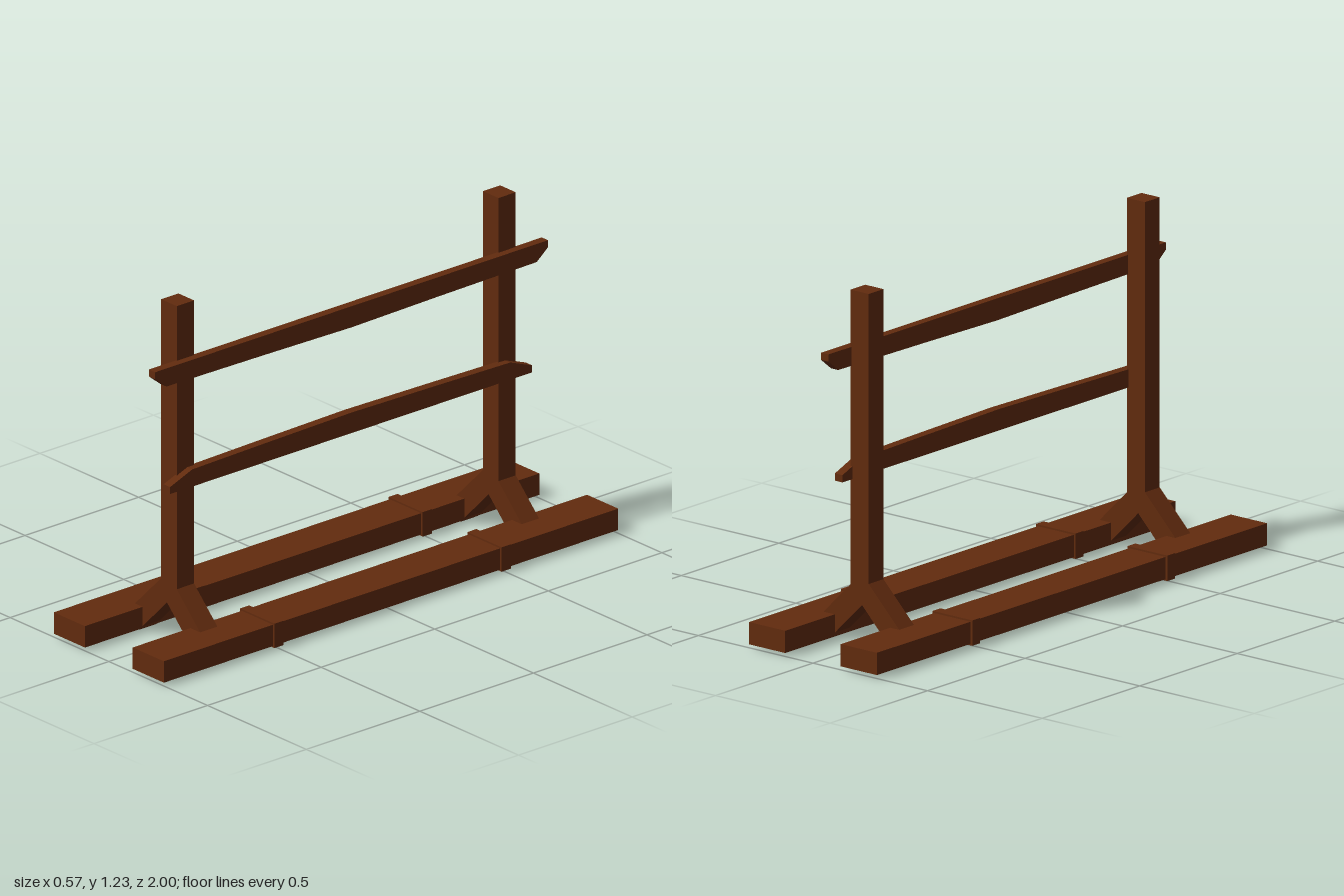
import * as THREE from 'three';

const wood = new THREE.MeshStandardMaterial({ color: 0x622b0e });
wood.name = 'brown wood';

// Outline from [x, y] points, extruded by depth along z
function extrude(points, depth) {
  const shape = new THREE.Shape(points.map(([x, y]) => new THREE.Vector2(x, y)));
  return new THREE.ExtrudeGeometry(shape, { depth, bevelEnabled: false });
}

export function createModel() {
  const model = new THREE.Group();

  const add = (name, geometry) => {
    const mesh = new THREE.Mesh(geometry, wood);
    mesh.name = name;
    model.add(mesh);
    return mesh;
  };
  // Box given by its minimum and maximum corners
  const addBox = (name, [x0, y0, z0], [x1, y1, z1]) =>
    add(name, new THREE.BoxGeometry(x1 - x0, y1 - y0, z1 - z0))
      .position.set((x0 + x1) / 2, (y0 + y1) / 2, (z0 + z1) / 2);

  // Ground beams with two raised bands each
  for (const side of [-1, 1]) {
    const label = side > 0 ? 'left' : 'right';
    const x = side * 0.2;
    addBox(label + 'GroundBeam', [x - 0.079, 0.015, -1], [x + 0.079, 0.092, 1]);
    for (const z of [-0.5, 0.5]) {
      addBox(label + 'BeamBand', [x - 0.087, 0.01, z - 0.02], [x + 0.087, 0.098, z + 0.02]);
    }
  }

  // Posts standing on pairs of splayed legs
  const rightLeg = [[0.002, 0.147], [0.002, 0.222], [-0.027, 0.225], [-0.194, 0.058], [-0.14, 0.003]];
  const leftLeg = [[0.002, 0.147], [0.119, 0.03], [0.176, 0.086], [0.052, 0.21], [0.002, 0.222]];
  for (const z of [-0.708, 0.708]) {
    addBox('post', [-0.027, 0.21, z - 0.038], [0.052, 1.23, z + 0.038]);
    add('rightLeg', extrude(rightLeg, 0.076)).position.z = z - 0.038;
    add('leftLeg', extrude(leftLeg, 0.076)).position.z = z - 0.038;
  }

  // Rails: half profile as [z, y], mirrored to the other end
  const addRail = (name, half, x, thickness) => {
    const mirrored = half.filter(([z]) => z > 0).reverse().map(([z, y]) => [-z, y]);
    const geometry = extrude([...half, ...mirrored], thickness);
    geometry.rotateY(Math.PI / 2);
    add(name, geometry).position.x = x;
  };
  addRail('upperRail',
    [[0, 0.957], [0.38, 0.963], [0.815, 0.968], [0.865, 1.008], [0.865, 1.033]], 0.047, 0.032);
  addRail('lowerRail',
    [[0, 0.649], [0.38, 0.643], [0.7, 0.637], [0.797, 0.6], [0.797, 0.575]], 0.044, 0.033);

  return model;
}
